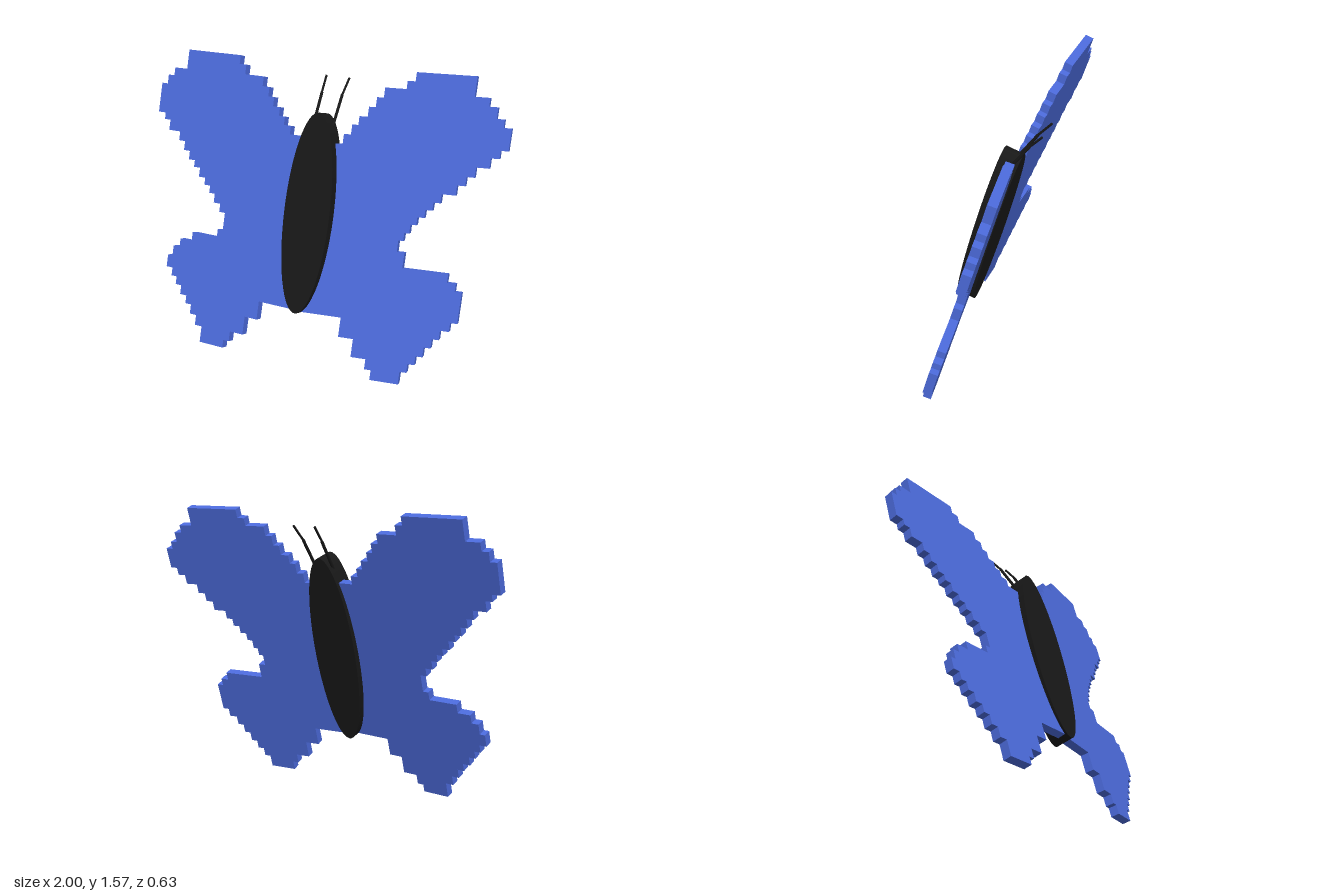
import * as THREE from 'three';

const blue = new THREE.MeshStandardMaterial({ color: 0x4c6bdc });
const black = new THREE.MeshStandardMaterial({ color: 0x181818 });

// Stepped outlines: a start point, then alternating new x and new y.
const rightOutline = [0.02, 1.2,
  -0.147, 1.243, -0.19, 1.286, -0.227, 1.33, -0.27, 1.377, -0.307, 1.425, -0.35, 1.475,
  -0.467, 1.525, -0.51, 1.57, -0.845, 1.467, -0.925, 1.425, -0.963, 1.377, -1, 1.22,
  -0.953, 1.185, -0.915, 1.13, -0.84, 1.083, -0.8, 1.035, -0.76, 0.99, -0.72, 0.955,
  -0.68, 0.907, -0.638, 0.87, -0.6, 0.832, -0.563, 0.785, -0.52, 0.742, -0.483, 0.65,
  -0.515, 0.607, -0.675, 0.56, -0.75, 0.515, -0.79, 0.46, -0.82, 0.395, -0.78, 0.352,
  -0.745, 0.31, -0.707, 0.262, -0.665, 0.22, -0.627, 0.17, -0.585, 0.117, -0.54, 0.033,
  -0.39, 0.075, -0.355, 0.128, -0.275, 0.224, -0.2, 0.32, 0.02];

const leftOutline = [0.02, 1.185,
  0.158, 1.235, 0.195, 1.286, 0.227, 1.33, 0.27, 1.38, 0.305, 1.43, 0.34, 1.48,
  0.45, 1.52, 0.49, 1.565, 0.793, 1.467, 0.87, 1.425, 0.915, 1.37, 0.955, 1.33,
  0.995, 1.22, 0.957, 1.18, 0.915, 1.13, 0.85, 1.08, 0.81, 1.035, 0.77, 0.985,
  0.7, 0.94, 0.665, 0.9, 0.63, 0.86, 0.595, 0.82, 0.565, 0.775, 0.54, 0.735,
  0.515, 0.677, 0.555, 0.598, 0.79, 0.555, 0.835, 0.515, 0.87, 0.36, 0.835, 0.315,
  0.79, 0.267, 0.755, 0.22, 0.72, 0.17, 0.685, 0.125, 0.65, 0.08, 0.615, 0.015,
  0.465, 0.065, 0.43, 0.117, 0.35, 0.21, 0.27, 0.31, 0.02];

// Wing slab whose front face lies on the plane z = z0 + slopeX * x + slopeY * y.
function makeWing(name, outline, z0, slopeX, slopeY) {
  const p = [outline[0], outline[1]];
  const points = [new THREE.Vector2(...p)];
  for (let i = 2; i < outline.length; i++) {
    p[i % 2] = outline[i];
    points.push(new THREE.Vector2(...p));
  }
  const thickness = 0.046;
  const geo = new THREE.ExtrudeGeometry(new THREE.Shape(points), { depth: thickness, bevelEnabled: false });
  geo.translate(0, 0, -thickness);
  const normal = new THREE.Vector3(-slopeX, -slopeY, 1).normalize();
  const matrix = new THREE.Matrix4().makeBasis(
    new THREE.Vector3(1, 0, slopeX), new THREE.Vector3(0, 1, slopeY), normal);
  geo.applyMatrix4(matrix.setPosition(0, 0, z0));
  const mesh = new THREE.Mesh(geo, blue);
  mesh.name = name;
  return mesh;
}

// Thin rod between two points.
function rod(a, b, radius) {
  const dir = b.clone().sub(a);
  const mesh = new THREE.Mesh(new THREE.CylinderGeometry(radius, radius, dir.length(), 8), black);
  mesh.position.copy(a).add(b).multiplyScalar(0.5);
  mesh.quaternion.setFromUnitVectors(new THREE.Vector3(0, 1, 0), dir.normalize());
  return mesh;
}

export function createModel() {
  const model = new THREE.Group();
  model.name = 'butterfly';

  model.add(makeWing('rightWing', rightOutline, 0.32, 0, -0.3));
  model.add(makeWing('leftWing', leftOutline, 0.31, -0.175, -0.285));

  // Body: flat elliptical disc leaning back
  const body = new THREE.Mesh(new THREE.CylinderGeometry(1, 1, 1, 64).rotateX(Math.PI / 2), black);
  body.name = 'body';
  body.scale.set(0.133, 0.535, 0.104);
  body.position.set(0.027, 0.81, 0.05);
  body.rotation.x = -THREE.MathUtils.degToRad(15);
  model.add(body);

  // Antennae: a thicker base and a thinner tip, bent slightly outward
  for (const side of [-1, 1]) {
    const at = (dx, y, z) => new THREE.Vector3(0.027 + side * dx, y, z);
    const antenna = new THREE.Group();
    antenna.name = side > 0 ? 'leftAntenna' : 'rightAntenna';
    const base = rod(at(0.056, 1.25, -0.08), at(0.06, 1.41, -0.19), 0.008);
    base.name = 'antennaBase';
    const tip = rod(at(0.06, 1.405, -0.185), at(0.068, 1.487, -0.258), 0.006);
    tip.name = 'antennaTip';
    antenna.add(base, tip);
    model.add(antenna);
  }
  return model;
}
